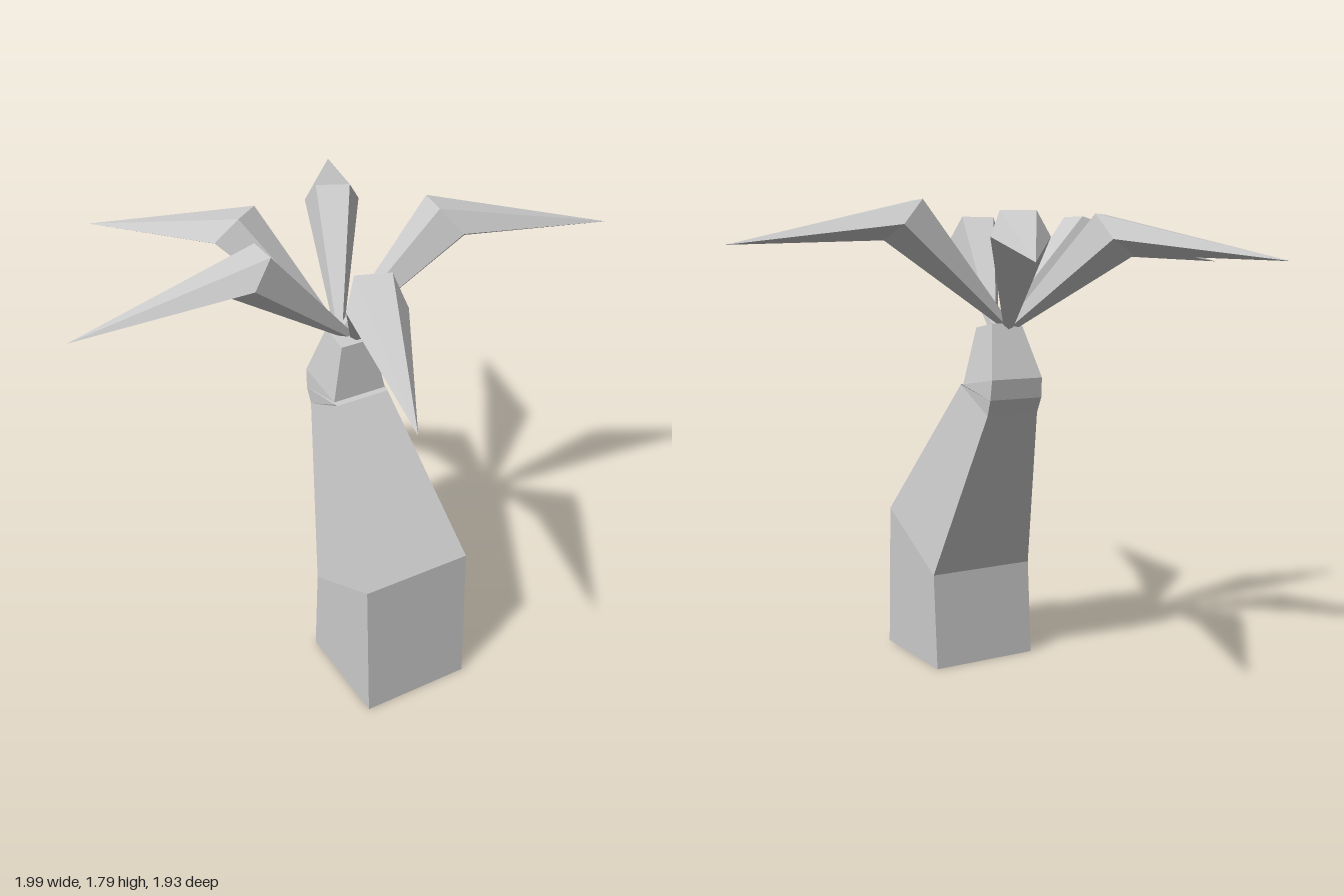
import * as THREE from 'three';

// Skin a list of equal-length rings (counter-clockwise about the direction of travel), with end caps
function loft(rings) {
  const pos = [];
  const tri = (...pts) => pts.forEach((p) => pos.push(p.x, p.y, p.z));
  const n = rings[0].length;
  for (let i = 0; i < rings.length - 1; i++) {
    const a = rings[i], b = rings[i + 1];
    for (let j = 0; j < n; j++) {
      const k = (j + 1) % n;
      tri(a[j], a[k], b[k]);
      tri(a[j], b[k], b[j]);
    }
  }
  const first = rings[0], last = rings[rings.length - 1];
  for (let j = 1; j < n - 1; j++) {
    tri(first[0], first[j + 1], first[j]);
    tri(last[0], last[j], last[j + 1]);
  }
  const geometry = new THREE.BufferGeometry();
  geometry.setAttribute('position', new THREE.Float32BufferAttribute(pos, 3));
  geometry.computeVertexNormals();
  return geometry;
}

// Four-cornered trunk section: x range, then z and y of the front and back edges
function trunkRing([x0, x1, zFront, yFront, zBack, yBack]) {
  return [
    new THREE.Vector3(x0, yFront, zFront),
    new THREE.Vector3(x1, yFront, zFront),
    new THREE.Vector3(x1, yBack, zBack),
    new THREE.Vector3(x0, yBack, zBack),
  ];
}

// Five-sided frond: thin root, wide elbow square to the stem, pointed tip
function frondGeometry(root, elbow, tip) {
  const [r, m, t] = [root, elbow, tip].map((p) => new THREE.Vector3(...p));
  const out = m.clone().sub(r).setY(0).normalize();
  const along = out.clone().multiplyScalar(0.75).setY(0.66).normalize();
  const up = out.clone().multiplyScalar(-0.66).setY(0.75).normalize();
  const side = up.clone().cross(along);
  const ring = (centre, radius) => Array.from({ length: 5 }, (_, k) => {
    const a = -Math.PI / 2 + (k * Math.PI * 2) / 5;
    return centre.clone()
      .addScaledVector(side, radius * Math.cos(a))
      .addScaledVector(up, radius * Math.sin(a));
  });
  return loft([ring(r, 0.018), ring(m, 0.107), ring(t, 0.0008)]);
}

export function createModel() {
  const group = new THREE.Group();
  group.name = 'palmTree';
  const paleGrey = new THREE.MeshStandardMaterial({ color: 0xcccccc });
  paleGrey.name = 'paleGrey';

  const add = (name, geometry) => {
    const mesh = new THREE.Mesh(geometry, paleGrey);
    mesh.name = name;
    group.add(mesh);
  };

  // Leaning square trunk with a tapered crown
  add('trunk', loft([
    [-0.2, 0.23, 0.525, 0, 0.1, 0],
    [-0.2, 0.23, 0.5, 0.57, 0.125, 0.37],
    [-0.09, 0.125, 0.09, 1.11, -0.11, 1.01],
    [-0.093, 0.128, 0.08, 1.112, -0.135, 1.07],
    [-0.09, 0.125, 0.07, 1.115, -0.143, 1.145],
    [-0.05, 0.077, 0.055, 1.325, -0.06, 1.345],
  ].map(trunkRing)));

  // Fronds: root, elbow, tip
  const fronds = {
    leftFrond: [[0, 1.34, -0.03], [0.385, 1.727, 0.045], [0.99, 1.63, 0.19]],
    rightFrond: [[0.015, 1.33, -0.01], [-0.37, 1.675, -0.015], [-1, 1.57, -0.04]],
    frontFrond: [[0.03, 1.33, 0.01], [-0.107, 1.68, 0.378], [-0.32, 1.58, 0.96]],
    backRightFrond: [[-0.015, 1.33, -0.04], [-0.26, 1.675, -0.36], [-0.63, 1.575, -0.855]],
    backLeftFrond: [[0, 1.33, -0.05], [0.18, 1.68, -0.42], [0.47, 1.575, -0.97]],
  };
  for (const [name, points] of Object.entries(fronds)) add(name, frondGeometry(...points));

  return group;
}
